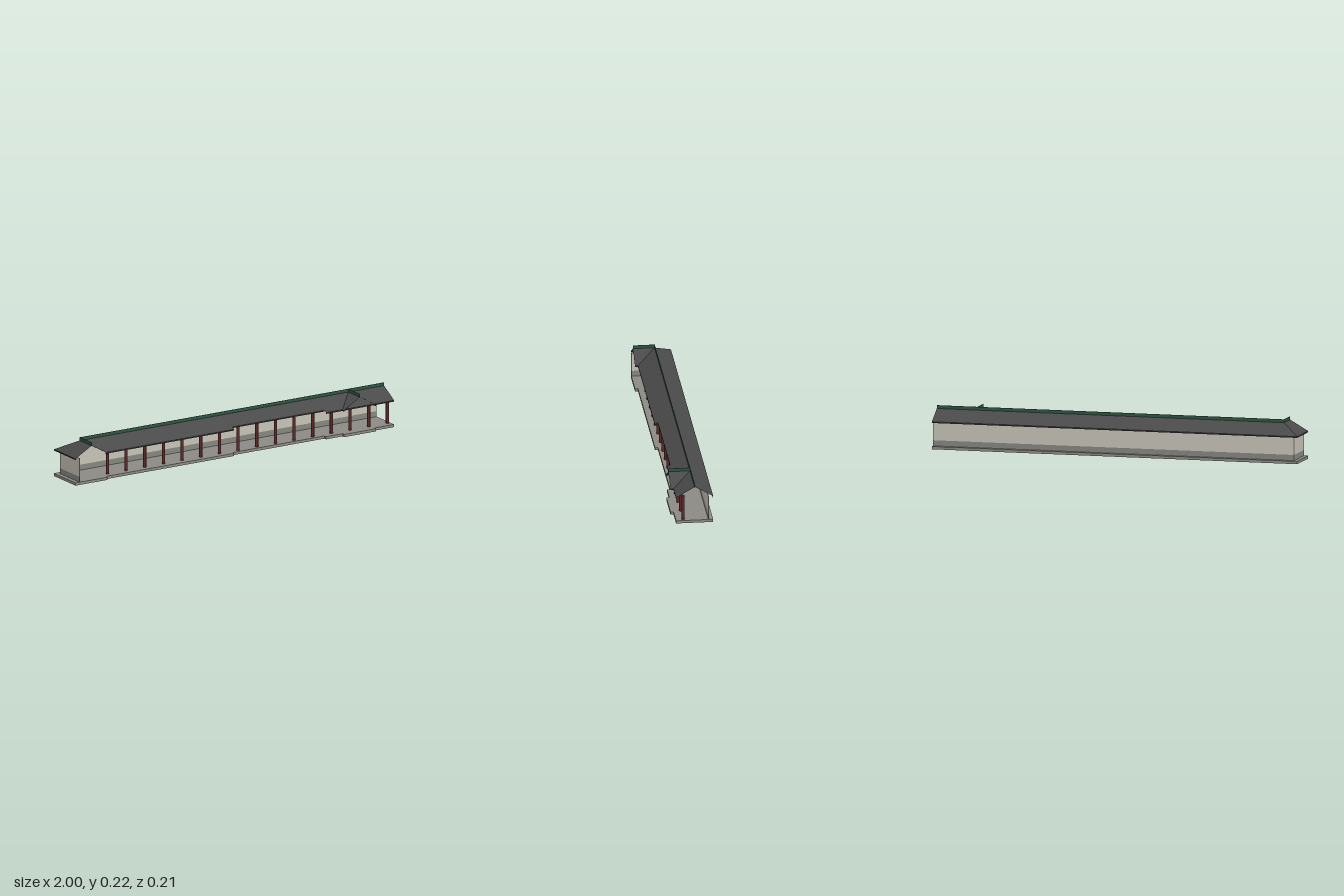
import * as THREE from 'three';

const mat = (name, color, side = THREE.FrontSide) => {
  const m = new THREE.MeshStandardMaterial({ color, side });
  m.name = name;
  return m;
};

export function createModel() {
  const group = new THREE.Group();
  const stone = mat('stone floor', 0x8b8a84);
  const dado = mat('grey wall base', 0x868780);
  const plaster = mat('beige plaster', 0xc6c2b7);
  const red = mat('dark red timber', 0x5c2827);
  const tile = mat('dark roof tile', 0x4a4a4a, THREE.DoubleSide);
  const trim = mat('eave trim', 0x393939);
  const green = mat('green ridge', 0x2f5443);

  const add = (name, geometry, material, x = 0, y = 0, z = 0) => {
    const mesh = new THREE.Mesh(geometry, material);
    mesh.name = name;
    mesh.position.set(x, y, z);
    group.add(mesh);
    return mesh;
  };
  // Box given by its limits on each axis
  const box = (name, material, x0, x1, y0, y1, z0, z1) =>
    add(name, new THREE.BoxGeometry(x1 - x0, y1 - y0, z1 - z0), material,
      (x0 + x1) / 2, (y0 + y1) / 2, (z0 + z1) / 2);
  // Flat convex polygon
  const sheet = (name, pts) => {
    const pos = [];
    for (let i = 1; i < pts.length - 1; i++) pos.push(...pts[0], ...pts[i], ...pts[i + 1]);
    const g = new THREE.BufferGeometry();
    g.setAttribute('position', new THREE.Float32BufferAttribute(pos, 3));
    g.computeVertexNormals();
    add(name, g, tile);
  };

  const back = -0.106, front = 0.091, inset = 0.075, wing = 0.107;
  const floorY = 0.015, eaveY = 0.147, ridgeY = 0.204, ridgeZ = -0.008;
  const leftX = -0.9, rightX = 0.777, half = 0.099;
  const slopeY = z => ridgeY - (ridgeY - eaveY) * (z - ridgeZ) / (front - ridgeZ);

  // Stepped front outline shared by floor and eaves
  const outline = [
    [-1, wing], [leftX + half, wing], [leftX + half, front], [0, front], [0, inset],
    [0.575, inset], [0.575, front], [rightX - half, front], [rightX - half, wing],
    [rightX + half, wing], [rightX + half, front], [1, front],
  ];

  // Floor slab
  const plan = new THREE.Shape([[-1, back], ...outline, [1, back]]
    .map(([x, z]) => new THREE.Vector2(x, -z)));
  const slab = new THREE.ExtrudeGeometry(plan, { depth: floorY, bevelEnabled: false });
  slab.rotateX(-Math.PI / 2);
  add('floor', slab, stone);

  // Back wall and end wall, each with a grey base band
  for (const [name, m, y0, y1] of [['WallBase', dado, floorY, 0.045], ['Wall', plaster, 0.045, 0.147]]) {
    box('back' + name, m, -0.977, 1, y0, y1, -0.083, -0.08);
    box('end' + name, m, -0.977, -0.974, y0, y1, -0.08, wing);
  }

  // Row of columns
  const columnGeo = new THREE.CylinderGeometry(0.0085, 0.0085, 0.137, 12);
  for (let i = 0; i < 16; i++)
    add('column', columnGeo, red, -0.767 + i * 0.1166, floorY + 0.0685, 0.053);

  // Main roof slopes
  sheet('backSlope', [[leftX, ridgeY, ridgeZ], [1, ridgeY, ridgeZ], [1, eaveY, back], [-1, eaveY, back]]);
  const bay = (x0, x1, z, xEave = x0) => sheet('frontSlope',
    [[x0, ridgeY, ridgeZ], [xEave, slopeY(z), z], [x1, slopeY(z), z], [x1, ridgeY, ridgeZ]]);
  bay(leftX, 0, front, leftX + half);
  bay(0, 0.575, inset);
  bay(0.575, 1, front);

  // Hipped end and the two gabled cross roofs
  sheet('hipSlope', [[-1, eaveY, back], [-1, eaveY, wing], [leftX, ridgeY, wing], [leftX, ridgeY, ridgeZ]]);
  const crossSlope = (x, s) => sheet('crossSlope',
    [[x, ridgeY, ridgeZ], [x, ridgeY, wing], [x + s * half, eaveY, wing], [x + s * half, eaveY, front]]);
  crossSlope(leftX, 1);
  crossSlope(rightX, -1);
  crossSlope(rightX, 1);

  // Eave trim boards
  const t = 0.003, drop = 0.007;
  box('backEave', trim, -1, 1, eaveY - drop, eaveY, back, back + t);
  box('hipEave', trim, -1, -1 + t, eaveY - drop, eaveY, back, wing);
  for (const [x0, x1, z] of [[leftX + half, 0, front], [0, 0.575, inset], [0.575, 1, front]])
    box('frontEave', trim, x0, x1, slopeY(z) - drop, slopeY(z), z - t, z);
  for (const x of [leftX + half, rightX - half, rightX + half])
    box('crossEave', trim, x - t / 2, x + t / 2, eaveY - drop, eaveY, front, wing);

  // Thin green ridges
  const r = 0.001, top = 0.221;
  box('mainRidge', green, leftX, 1, ridgeY - 0.002, top, ridgeZ - r, ridgeZ + r);
  for (const x of [leftX, rightX])
    box('crossRidge', green, x - r, x + r, ridgeY - 0.002, top, ridgeZ, wing);

  return group;
}
